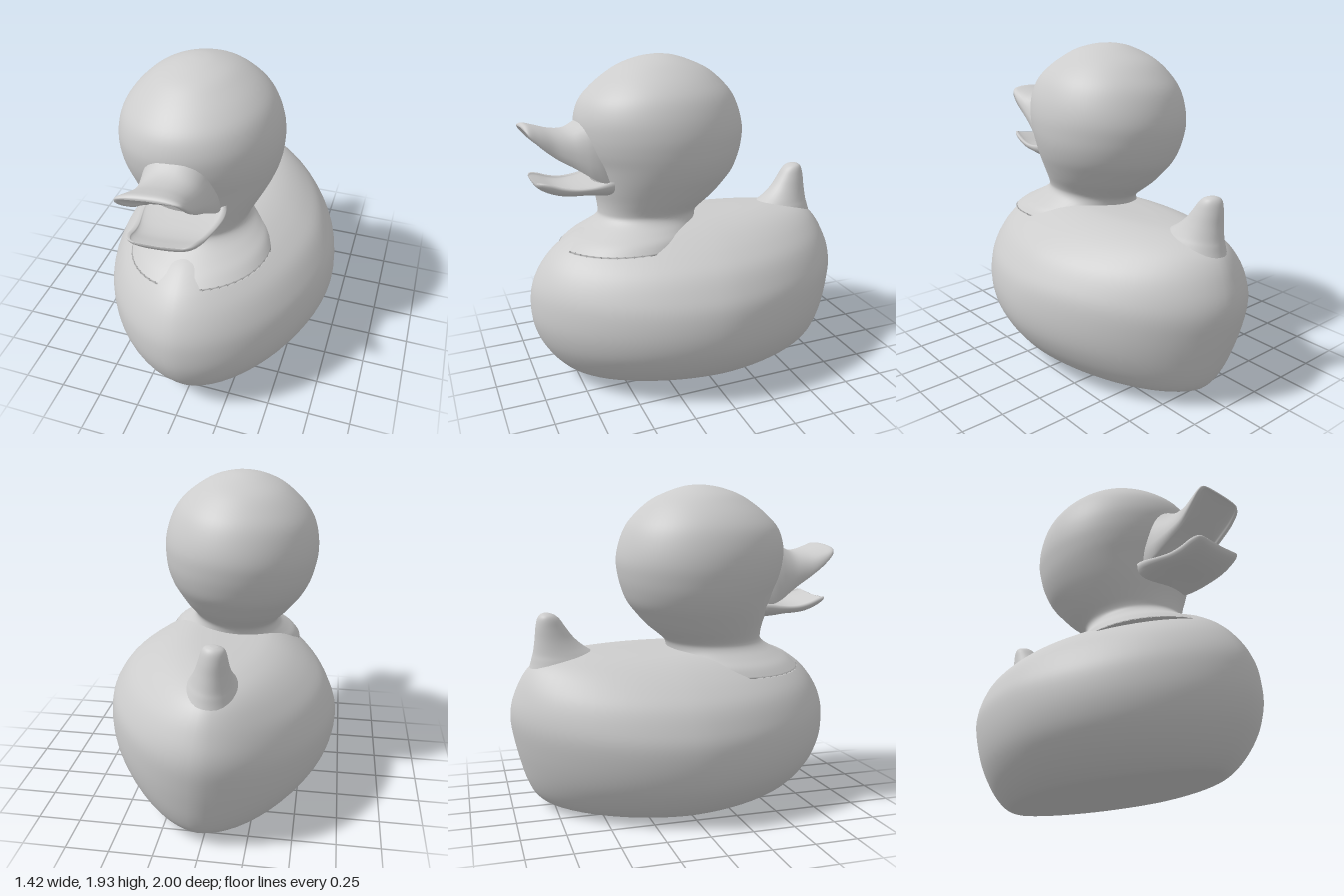
import * as THREE from 'three';

// Smoothly interpolates rows of numbers (uniform Catmull-Rom)
function smoothRows(rows, steps) {
  const out = [], last = rows.length - 1;
  for (let i = 0; i < last; i++) {
    const [a, b, c, d] = [i - 1, i, i + 1, i + 2].map(k => rows[Math.min(last, Math.max(0, k))]);
    for (let s = 0; s < steps; s++) {
      const t = s / steps;
      out.push(b.map((v, k) => v + 0.5 * t * (c[k] - a[k]
        + t * (2 * a[k] - 5 * v + 4 * c[k] - d[k] + t * (3 * (v - c[k]) + d[k] - a[k])))));
    }
  }
  out.push(rows[last]);
  return out;
}

// Skins closed rings of [x, y, z] points and closes both ends
function skin(rings) {
  const n = rings[0].length, pos = [], index = [];
  rings.forEach(r => r.forEach(p => pos.push(...p)));
  for (let i = 0; i < rings.length - 1; i++) {
    for (let j = 0; j < n; j++) {
      const k = (j + 1) % n, p = i * n, q = p + n;
      index.push(p + j, q + j, p + k, q + j, q + k, p + k);
    }
  }
  [0, rings.length - 1].forEach((r, end) => {
    const c = pos.length / 3;
    pos.push(...[0, 1, 2].map(k => rings[r].reduce((s, p) => s + p[k], 0) / n));
    for (let j = 0; j < n; j++) {
      const a = r * n + j, b = r * n + (j + 1) % n;
      index.push(c, end ? b : a, end ? a : b);
    }
  });
  const g = new THREE.BufferGeometry();
  g.setAttribute('position', new THREE.Float32BufferAttribute(pos, 3));
  g.setIndex(index);
  g.computeVertexNormals();
  return g;
}

const signedPow = (v, e) => Math.sign(v) * Math.abs(v) ** e;

// Rounded volume from horizontal ovals: [y, front z, back z, half width];
// a power above 1 makes the ovals more pointed
function stacked(rows, sides = 56, power = 1) {
  return skin(smoothRows(rows, 4).map(([y, f, b, w]) =>
    Array.from({ length: sides }, (_, j) => {
      const a = (j / sides) * Math.PI * 2;
      return [w * signedPow(Math.cos(a), power), y,
        (f + b) / 2 + ((f - b) / 2) * signedPow(Math.sin(a), power)];
    })));
}

// Hollowed bill from arched sections: [z, crown y, rim y, half width, hollow share]
function bill(rows, n = 20) {
  const flip = rows[0][1] < rows[0][2];
  return skin(smoothRows(rows, 4).map(([z, crown, rim, w, hollow]) => {
    const ring = [];
    for (let j = 0; j <= 2 * n + 1; j++) {
      const outer = j <= n;
      const a = Math.PI * (outer ? 1 - j / n : (j - n - 1) / n);
      const s = Math.max(0, Math.sin(a));
      ring.push([
        (outer ? 1 : 0.9) * w * signedPow(Math.cos(a), 0.8),
        rim + (crown - rim) * s ** 0.8 * (outer ? 1 : hollow), z]);
    }
    return flip ? ring.reverse() : ring;
  }));
}

export function createModel() {
  const rubber = new THREE.MeshStandardMaterial({ color: 0xcccccc });
  rubber.name = 'grey rubber';
  const duck = new THREE.Group();
  duck.name = 'bathDuck';
  const add = (name, geometry) => {
    const mesh = new THREE.Mesh(geometry, rubber);
    mesh.name = name;
    duck.add(mesh);
  };

  // Egg-shaped body with a flat base
  add('body', stacked([
    [0, 0.69, -0.75, 0.41], [0, 0.74, -0.80, 0.45], [0.02, 0.785, -0.84, 0.495],
    [0.07, 0.845, -0.88, 0.56], [0.15, 0.91, -0.915, 0.63], [0.25, 0.965, -0.945, 0.685],
    [0.37, 0.998, -0.975, 0.71], [0.5, 0.998, -0.998, 0.705], [0.6, 0.975, -0.993, 0.667],
    [0.7, 0.92, -0.96, 0.605], [0.78, 0.85, -0.92, 0.515], [0.84, 0.77, -0.87, 0.425],
    [0.88, 0.70, -0.80, 0.345], [0.905, 0.63, -0.69, 0.27], [0.917, 0.56, -0.56, 0.2],
    [0.922, 0.40, -0.35, 0.1],
  ], 64, 1.13));

  // Round head narrowing into the neck, with a flared foot that meets the shoulders
  add('head', stacked([
    [0.8, 0.8, -0.04, 0.42], [0.85, 0.735, -0.04, 0.385], [0.89, 0.665, -0.04, 0.335],
    [0.93, 0.595, -0.045, 0.288], [0.965, 0.556, -0.06, 0.27],
    [1.0, 0.55, -0.1, 0.283], [1.06, 0.555, -0.175, 0.325], [1.13, 0.57, -0.24, 0.37],
    [1.2, 0.585, -0.295, 0.41], [1.28, 0.605, -0.33, 0.442], [1.36, 0.635, -0.352, 0.46],
    [1.45, 0.655, -0.362, 0.468], [1.55, 0.657, -0.345, 0.456], [1.65, 0.622, -0.305, 0.42],
    [1.73, 0.548, -0.24, 0.36], [1.8, 0.455, -0.16, 0.28], [1.85, 0.365, -0.06, 0.2],
    [1.885, 0.25, 0.04, 0.1], [1.896, 0.16, 0.12, 0.02],
  ]));

  // Upturned tail
  add('tail', stacked([
    [0.78, -0.45, -0.9, 0.17], [0.84, -0.45, -0.88, 0.155], [0.88, -0.47, -0.87, 0.14],
    [0.91, -0.51, -0.862, 0.125], [0.95, -0.57, -0.856, 0.108], [1.0, -0.625, -0.85, 0.092],
    [1.06, -0.67, -0.845, 0.078], [1.11, -0.705, -0.835, 0.066], [1.135, -0.735, -0.82, 0.05],
    [1.146, -0.765, -0.8, 0.02],
  ], 32));

  // Open bill: wide upper scoop and shallow lower scoop
  add('upperBill', bill([
    [0.46, 1.66, 1.2, 0.19, 0], [0.55, 1.62, 1.2, 0.208, 0], [0.61, 1.575, 1.225, 0.208, 0.03],
    [0.66, 1.54, 1.26, 0.2, 0.1], [0.73, 1.508, 1.308, 0.187, 0.25],
    [0.81, 1.512, 1.358, 0.179, 0.4], [0.89, 1.535, 1.425, 0.187, 0.52],
    [0.945, 1.55, 1.485, 0.185, 0.55], [0.965, 1.543, 1.515, 0.165, 0.55],
    [0.97, 1.535, 1.525, 0.14, 0.55],
  ]));
  add('lowerBill', bill([
    [0.44, 1.09, 1.21, 0.2, 0.1], [0.52, 1.1, 1.205, 0.235, 0.1], [0.59, 1.11, 1.195, 0.243, 0.15],
    [0.66, 1.12, 1.187, 0.232, 0.25], [0.73, 1.122, 1.187, 0.216, 0.35],
    [0.8, 1.13, 1.2, 0.205, 0.4], [0.87, 1.155, 1.225, 0.195, 0.4],
    [0.915, 1.185, 1.233, 0.175, 0.4], [0.93, 1.21, 1.225, 0.14, 0.4],
  ]));

  // The toy leans slightly to its right
  duck.rotation.z = 0.087;
  duck.position.set(0.035, 0.04, 0);
  const model = new THREE.Group();
  model.name = 'model';
  model.add(duck);
  return model;
}
